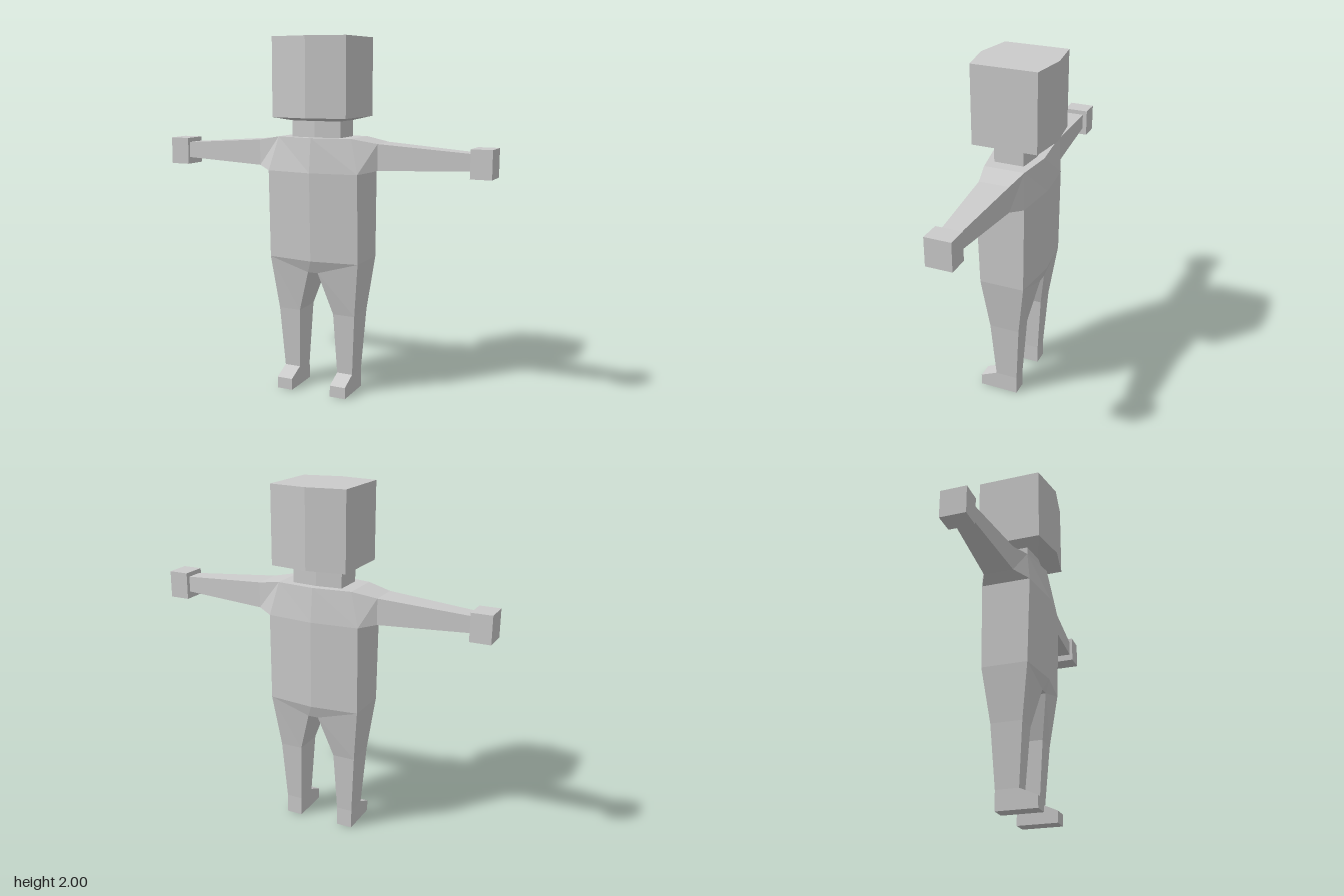
import * as THREE from 'three';

const material = new THREE.MeshStandardMaterial({ color: 0xcccccc, flatShading: true });

// Joins rings of points (clockwise seen from the last ring), with optional end caps.
function loft(rings, capStart = false, capEnd = false) {
  const pos = [];
  const tri = (...pts) => {
    const [a, b, c] = pts.map(p => new THREE.Vector3(...p));
    if (b.clone().sub(a).cross(c.clone().sub(a)).length() < 1e-7) return;
    pos.push(...pts.flat());
  };
  const quad = (a, b, c, d) => { tri(a, b, c); tri(a, c, d); };
  const n = rings[0].length;
  for (let k = 0; k < rings.length - 1; k++) {
    const lo = rings[k], hi = rings[k + 1];
    for (let i = 0; i < n; i++) {
      const j = (i + 1) % n;
      quad(lo[i], hi[i], hi[j], lo[j]);
    }
  }
  const first = rings[0], last = rings[rings.length - 1];
  for (let i = 0; i < (n - 1) / 2; i++) {
    const q = [i, i + 1, n - 2 - i, n - 1 - i];
    if (capStart) quad(...q.map(m => first[m]));
    if (capEnd) quad(...q.reverse().map(m => last[m]));
  }
  const geo = new THREE.BufferGeometry();
  geo.setAttribute('position', new THREE.Float32BufferAttribute(pos, 3));
  geo.computeVertexNormals();
  return geo;
}

// Six-sided level section: flat sides, ridge down the middle of front and back.
const hex = (y, x, front, back, midFront, midBack) => [
  [x, y, front], [0, y, midFront], [-x, y, front],
  [-x, y, back], [0, y, midBack], [x, y, back],
];

const mirror = rings => rings.map(r => r.map(([x, y, z]) => [-x, y, z]).reverse());

export function createModel() {
  const model = new THREE.Group();
  const add = (name, geo, parent = model) => {
    const mesh = new THREE.Mesh(geo, material);
    mesh.name = name;
    parent.add(mesh);
    return mesh;
  };

  // Head with a shallow taper underneath, on a short neck
  const neckTop = hex(1.545, 0.147, 0.085, -0.085, 0.105, -0.1);
  add('head', loft([
    neckTop,
    hex(1.565, 0.22, 0.18, -0.19, 0.22, -0.22),
    hex(2, 0.22, 0.18, -0.19, 0.22, -0.22),
  ], false, true));
  add('neck', loft([hex(1.455, 0.147, 0.085, -0.085, 0.105, -0.1), neckTop]));

  // Torso narrows to the shoulder line
  add('torso', loft([
    hex(0.77, 0.27, 0.125, -0.135, 0.16, -0.165),
    hex(1.265, 0.27, 0.14, -0.14, 0.175, -0.165),
    hex(1.455, 0.22, 0.11, -0.12, 0.155, -0.145),
  ], false, true));

  // Pelvis slopes down from the hips to the crotch
  add('pelvis', loft([
    [[0.27, 0.77, 0.125], [0.03, 0.7, 0.13], [-0.03, 0.7, 0.13], [-0.27, 0.77, 0.125],
      [-0.27, 0.77, -0.135], [-0.03, 0.7, -0.14], [0.03, 0.7, -0.14], [0.27, 0.77, -0.135]],
    [[0.27, 0.77, 0.125], [0, 0.77, 0.16], [0, 0.77, 0.16], [-0.27, 0.77, 0.125],
      [-0.27, 0.77, -0.135], [0, 0.77, -0.165], [0, 0.77, -0.165], [0.27, 0.77, -0.135]],
  ]));
  const crotch = add('crotch', new THREE.PlaneGeometry(0.06, 0.27));
  crotch.rotation.x = Math.PI / 2;
  crotch.position.set(0, 0.7, -0.005);

  // Arm sections from shoulder to wrist
  const armSection = (x, top, bottom, front, back) => [
    [x, top, front], [x, top, back], [x, bottom, back], [x, bottom, front],
  ];
  const arm = [
    [[0.22, 1.455, 0.11], [0.22, 1.455, -0.12], [0.27, 1.265, -0.14], [0.27, 1.265, 0.14]],
    armSection(0.36, 1.43, 1.285, 0.075, -0.095),
    armSection(0.865, 1.395, 1.305, 0.04, -0.06),
  ];

  // Leg sections from ankle to hip
  const legSection = (y, inner, outer, front, back) => [
    [outer, y, front], [inner, y, front], [inner, y, back], [outer, y, back],
  ];
  const leg = [
    legSection(0.11, 0.12, 0.213, 0.06, -0.07),
    legSection(0.46, 0.105, 0.235, 0.085, -0.092),
    [[0.27, 0.77, 0.125], [0.03, 0.7, 0.13], [0.03, 0.7, -0.14], [0.27, 0.77, -0.135]],
  ];

  // Foot side profile as [z, y], swept across its width
  const sole = [[0.06, 0.11], [-0.07, 0.11], [-0.07, 0], [0.16, 0], [0.16, 0.065]];
  const foot = [0.12, 0.213].map(x => sole.map(([z, y]) => [x, y, z]));

  for (const [side, s] of [['left', 1], ['right', -1]]) {
    const place = rings => (s > 0 ? rings : mirror(rings));
    add(side + 'Arm', loft(place(arm)));
    add(side + 'Hand', new THREE.BoxGeometry(0.116, 0.155, 0.143))
      .position.set(s * 0.922, 1.343, -0.014);
    add(side + 'Leg', loft(place(leg)));
    add(side + 'Foot', loft(place(foot), true, true));
  }
  return model;
}
